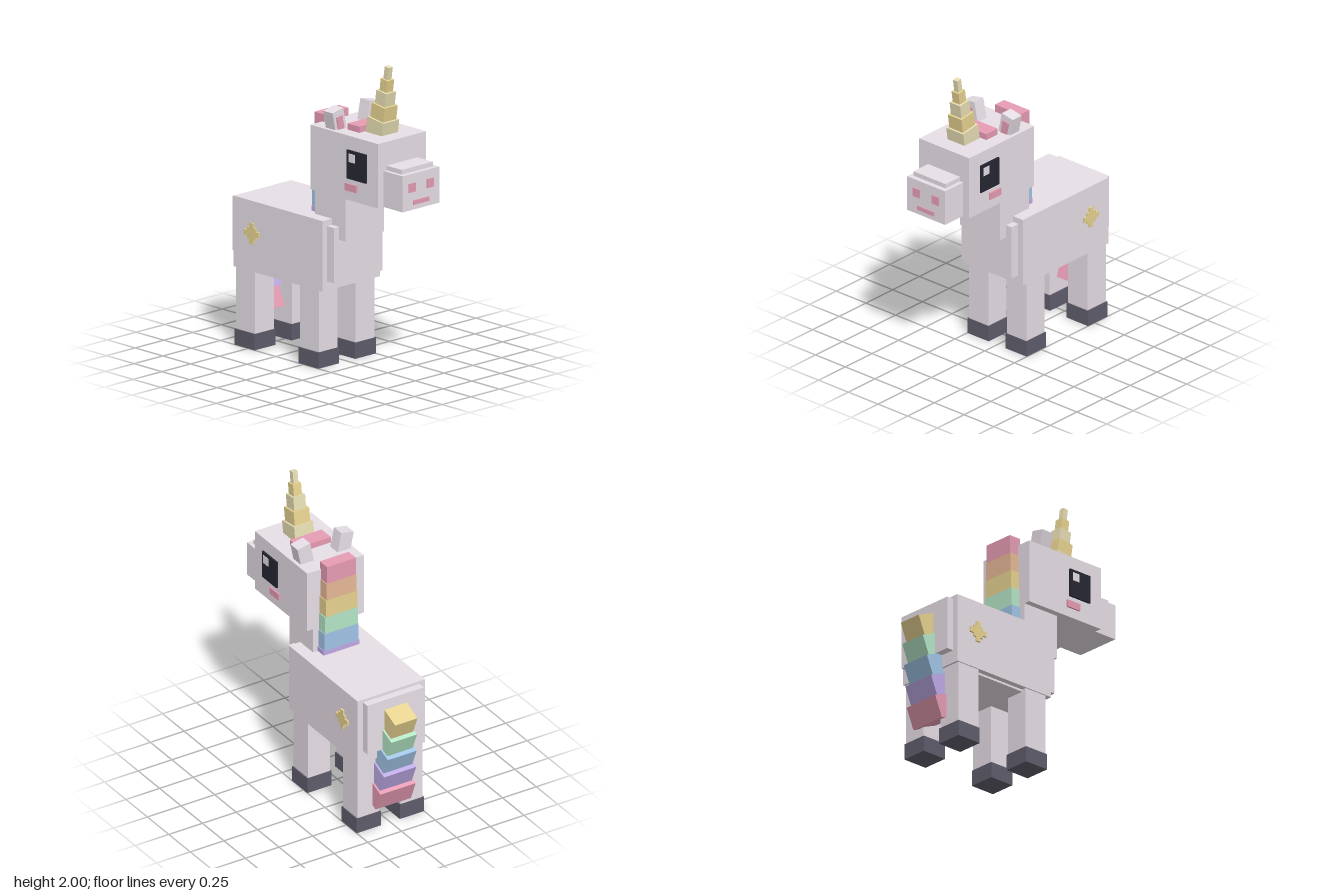
import * as THREE from 'three';

const mat = (name, color) => {
  const m = new THREE.MeshStandardMaterial({ color });
  m.name = name;
  return m;
};

export function createModel() {
  const coat = mat('coat', 0xe9e1e9);
  const hoofGrey = mat('hoofGrey', 0x605d6c);
  const black = mat('eyeBlack', 0x262633);
  const pink = mat('pink', 0xeca0b8);
  const orange = mat('orange', 0xeabb98);
  const gold = mat('gold', 0xead692);
  const paleGold = mat('paleGold', 0xeae0b6);
  const green = mat('green', 0xb8eaca);
  const blue = mat('blue', 0xa8cdf0);
  const purple = mat('purple', 0xc6b0ee);

  const model = new THREE.Group();
  model.name = 'blockUnicorn';

  // Box from its size and centre
  const block = (name, material, size, pos, parent = model) => {
    const mesh = new THREE.Mesh(new THREE.BoxGeometry(...size), material);
    mesh.name = name;
    mesh.position.set(...pos);
    parent.add(mesh);
    return mesh;
  };
  // Box from its min/max on each axis
  const span = (name, material, x, y, z, parent) =>
    block(name, material,
      [x[1] - x[0], y[1] - y[0], z[1] - z[0]],
      [(x[0] + x[1]) / 2, (y[0] + y[1]) / 2, (z[0] + z[1]) / 2], parent);
  // Thin plate standing out from a side wall at |x| = wall
  const sidePlate = (name, material, side, wall, thick, y, z) =>
    span(name, material, side > 0 ? [wall, wall + thick] : [-wall - thick, -wall], y, z);

  // Torso
  span('body', coat, [-0.25, 0.25], [0.51, 0.97], [-0.63, 0.17]);
  span('chest', coat, [-0.21, 0.21], [0.57, 0.93], [0.17, 0.235]);
  span('rump', coat, [-0.21, 0.21], [0.595, 0.95], [-0.68, -0.63]);
  span('belly', coat, [-0.21, 0.21], [0.495, 0.51], [-0.58, 0.12]);
  span('neck', coat, [-0.167, 0.167], [0.845, 1.15], [0.02, 0.295]);

  // Head and muzzle
  span('head', coat, [-0.21, 0.21], [1.14, 1.56], [0.02, 0.63]);
  span('muzzle', coat, [-0.16, 0.16], [1.14, 1.375], [0.62, 0.8]);
  span('muzzleBridge', coat, [-0.135, 0.135], [1.37, 1.405], [0.62, 0.767]);
  span('mouth', pink, [-0.07, 0.07], [1.172, 1.2], [0.8, 0.806]);
  span('forelock', pink, [-0.118, 0.118], [1.56, 1.6], [0.26, 0.367]);

  for (const s of [1, -1]) {
    const side = s > 0 ? 'left' : 'right';
    block(side + 'Nostril', pink, [0.06, 0.058, 0.006], [s * 0.08, 1.286, 0.803]);

    // Eyes: the highlight sits on the viewer's left on both sides
    sidePlate(side + 'Eye', black, s, 0.21, 0.012, [1.283, 1.47], [0.36, 0.53]);
    sidePlate(side + 'EyeGlint', coat, s, 0.222, 0.004, [1.395, 1.45],
      s > 0 ? [0.455, 0.51] : [0.38, 0.435]);
    sidePlate(side + 'Cheek', pink, s, 0.21, 0.011, [1.203, 1.25], [0.338, 0.445]);

    // Ears lean outwards
    const ear = new THREE.Group();
    ear.name = side + 'Ear';
    ear.position.set(s * 0.147, 1.61, 0.177);
    ear.rotation.z = -s * 0.2;
    block('earShell', coat, [0.095, 0.15, 0.085], [0, 0, 0], ear);
    block('earInner', pink, [0.05, 0.1, 0.008], [0, -0.015, 0.046], ear);
    model.add(ear);

    // Flank star: two crossed bars and a square core
    const star = new THREE.Group();
    star.name = side + 'FlankStar';
    star.position.set(s * 0.256, 0.76, -0.46);
    block('starUpright', gold, [0.012, 0.136, 0.034], [0, 0, 0], star);
    block('starCrossbar', gold, [0.012, 0.034, 0.136], [0, 0, 0], star);
    block('starCore', gold, [0.0116, 0.078, 0.078], [0, 0, 0], star);
    model.add(star);

    // Legs and hooves
    for (const [end, z] of [['Front', 0.045], ['Back', -0.53]]) {
      block(side + end + 'Leg', coat, [0.164, 0.41, 0.17], [s * 0.16, 0.307, z]);
      block(side + end + 'Hoof', hoofGrey, [0.18, 0.105, 0.18], [s * 0.16, 0.0525, z]);
    }
  }

  // Horn: shrinking blocks along a forward-leaning axis
  const horn = new THREE.Group();
  horn.name = 'horn';
  horn.position.set(0, 1.56, 0.448);
  horn.rotation.x = 0.14;
  const steps = [-0.02, 0.095, 0.19, 0.28, 0.36, 0.442];
  [0.142, 0.115, 0.088, 0.06, 0.036].forEach((w, i) => {
    const h = steps[i + 1] - steps[i];
    block('hornBlock' + (i + 1), i % 2 ? gold : paleGold, [w, h, w], [0, steps[i] + h / 2, 0], horn);
  });
  model.add(horn);

  // Mane: bands widening downwards, with a deeper block on top
  [pink, orange, gold, green, blue, purple].forEach((m, i) => {
    const top = 1.61 - i * 0.1215;
    const half = 0.107 + i * 0.005;
    span('maneBand' + (i + 1), m, [-half, half], [top - 0.1215, top], [-0.05, i ? 0.02 : 0.035]);
  });

  // Tail: tilted blocks widening downwards
  [gold, green, blue, purple, pink].forEach((m, i) => {
    const piece = block('tailBlock' + (i + 1), m, [0.166 + i * 0.024, 0.148, 0.155],
      [0, 0.79 - i * 0.135, -0.706 + i * 0.024]);
    piece.rotation.x = -0.39;
  });

  return model;
}
